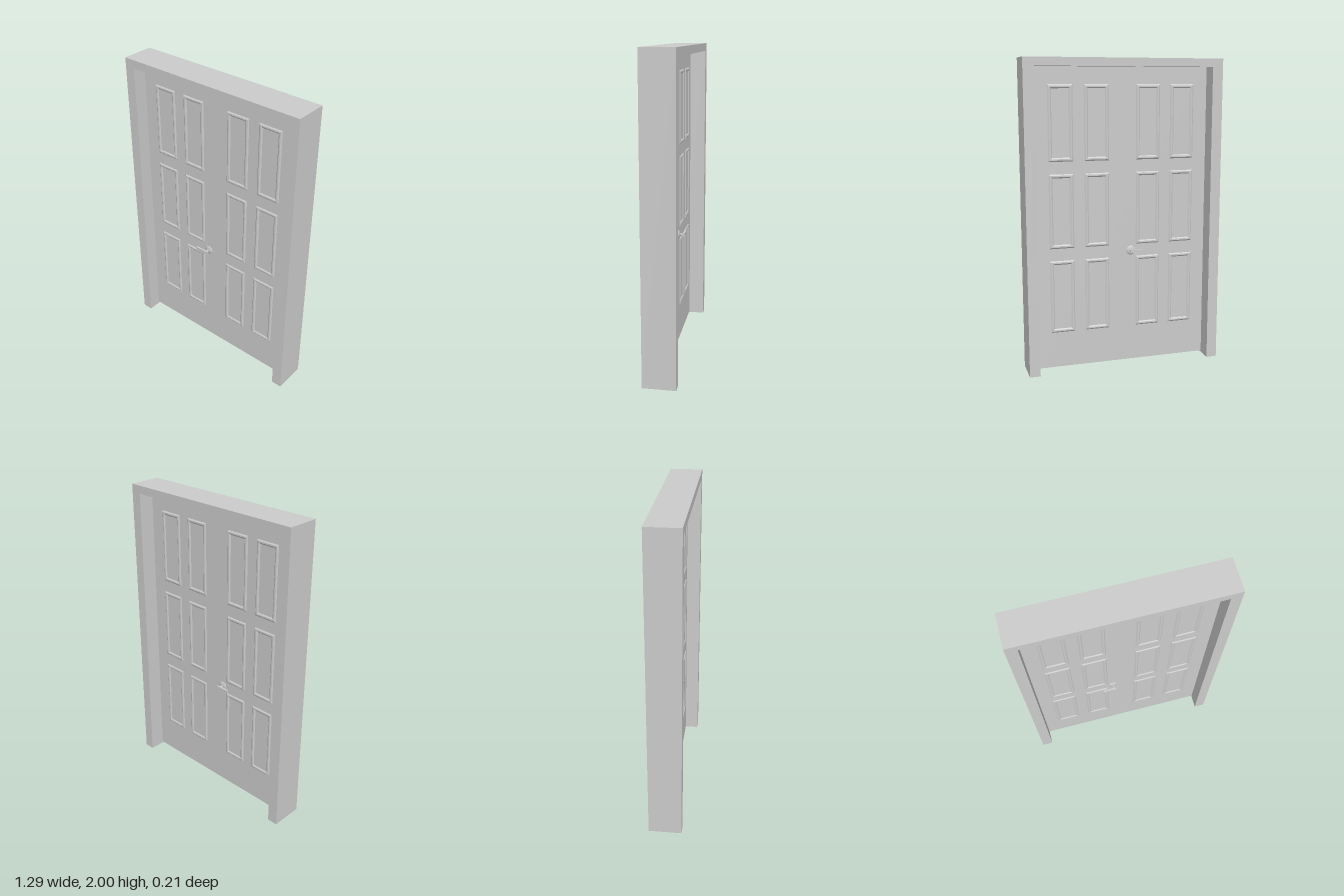
import * as THREE from 'three';

const material = new THREE.MeshStandardMaterial({ color: 0xcccccc });

const FRAME = { w: 1.286, h: 2, d: 0.21, jamb: 0.069, head: 0.052 };
const DOOR = { front: 0.015, back: -0.002, bottom: 0.01 };
const doorMid = (DOOR.front + DOOR.back) / 2;
const doorThick = DOOR.front - DOOR.back;

function add(parent, geometry, name, x = 0, y = 0, z = 0) {
  const mesh = new THREE.Mesh(geometry, material);
  mesh.name = name;
  mesh.position.set(x, y, z);
  parent.add(mesh);
  return mesh;
}

// Closed rectangle path centred on the origin
function rectangle(path, w, h) {
  path.moveTo(-w / 2, -h / 2);
  path.lineTo(w / 2, -h / 2);
  path.lineTo(w / 2, h / 2);
  path.lineTo(-w / 2, h / 2);
  path.closePath();
  return path;
}

// Bevelled rectangular moulding standing proud of both door faces
function mouldingGeometry(w, h) {
  const border = 0.025, bevel = 0.008, rise = 0.006;
  const shape = rectangle(new THREE.Shape(), w, h);
  shape.holes.push(rectangle(new THREE.Path(), w - 2 * border, h - 2 * border));
  const geometry = new THREE.ExtrudeGeometry(shape, {
    depth: doorThick, bevelEnabled: true, bevelSegments: 1,
    bevelSize: bevel, bevelOffset: -bevel, bevelThickness: rise,
  });
  return geometry.translate(0, 0, -doorThick / 2);
}

// Rosette, spindle and lever, pointing out along +z
function createHandle(name) {
  const handle = new THREE.Group();
  handle.name = name;
  const profile = [[0.03, 0], [0.028, 0.003], [0.021, 0.006], [0.01, 0.008], [0, 0.008]];
  const rosette = add(handle, new THREE.LatheGeometry(
    profile.map(([r, y]) => new THREE.Vector2(r, y)), 24), 'rosette');
  rosette.rotation.x = Math.PI / 2;
  const spindle = add(handle, new THREE.CylinderGeometry(0.007, 0.007, 0.035, 16), 'spindle', 0, 0, 0.0175);
  spindle.rotation.x = Math.PI / 2;
  add(handle, new THREE.BoxGeometry(0.09, 0.02, 0.012), 'lever', -0.03, 0, 0.036);
  return handle;
}

export function createModel() {
  const model = new THREE.Group();
  model.name = 'door';

  // Surround: two jambs and a head in one piece
  const { w, h, d, jamb, head } = FRAME;
  const outline = new THREE.Shape([
    [-w / 2, 0], [-w / 2 + jamb, 0], [-w / 2 + jamb, h - head], [w / 2 - jamb, h - head],
    [w / 2 - jamb, 0], [w / 2, 0], [w / 2, h], [-w / 2, h],
  ].map(([x, y]) => new THREE.Vector2(x, y)));
  add(model, new THREE.ExtrudeGeometry(outline, { depth: d, bevelEnabled: false }), 'doorFrame', 0, 0, -d / 2);

  // Door slab
  const slabHeight = h - head - DOOR.bottom;
  add(model, new THREE.BoxGeometry(w - 2 * jamb, slabHeight, doorThick), 'doorSlab',
    0, DOOR.bottom + slabHeight / 2, doorMid);

  // Grid of panel mouldings
  const moulding = mouldingGeometry(0.16, 0.478);
  for (const x of [-0.404, -0.174, 0.168, 0.4]) {
    for (const y of [0.485, 1.044, 1.601]) {
      add(model, moulding, 'panelMoulding', x, y, doorMid);
    }
  }

  // Lever handles on both faces
  const frontHandle = createHandle('frontHandle');
  frontHandle.position.set(-0.06, 0.764, DOOR.front);
  const backHandle = createHandle('backHandle');
  backHandle.position.set(-0.06, 0.764, DOOR.back);
  backHandle.rotation.y = Math.PI;
  backHandle.getObjectByName('lever').position.x *= -1;
  model.add(frontHandle, backHandle);

  return model;
}
